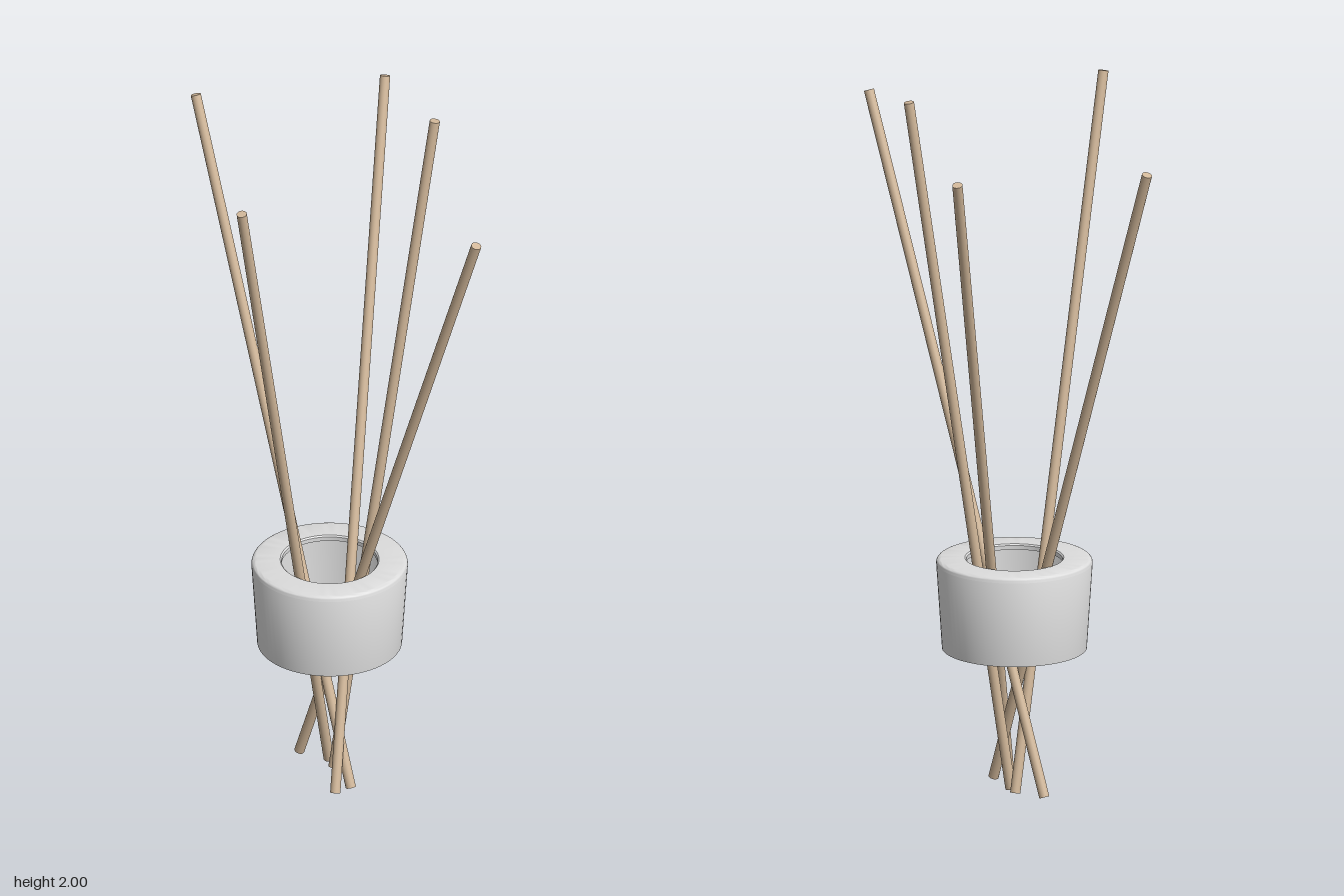
import * as THREE from 'three';
import { toCreasedNormals } from 'three/addons/utils/BufferGeometryUtils.js';

export function createModel() {
  const group = new THREE.Group();
  group.name = 'reedDiffuser';

  const wood = new THREE.MeshStandardMaterial({ color: 0xd2b89a });
  wood.name = 'pale wood';
  const grey = new THREE.MeshStandardMaterial({ color: 0xdcdcdc });
  grey.name = 'light grey';

  // Collar: tapered hollow cap, open below, with a round hole in its top
  const bottom = 0.407, top = 0.665, hole = 0.1325, bevel = 0.014;
  const profile = [new THREE.Vector2(0.191, bottom), new THREE.Vector2(0.2, bottom)];
  for (let i = 0; i <= 6; i++) { // rounded outer shoulder
    const a = (i / 6) * Math.PI / 2;
    profile.push(new THREE.Vector2(0.216 - bevel + bevel * Math.cos(a), top - bevel + bevel * Math.sin(a)));
  }
  profile.push(
    new THREE.Vector2(hole + 0.004, top),
    new THREE.Vector2(hole, top - 0.004),
    new THREE.Vector2(hole, top - 0.016),
    new THREE.Vector2(0.205, top - 0.016),
    new THREE.Vector2(0.191, bottom),
  );
  const collar = new THREE.Mesh(toCreasedNormals(new THREE.LatheGeometry(profile, 72), 0.6), grey);
  collar.name = 'collar';
  collar.position.set(-0.001, 0, 0.032);
  group.add(collar);

  // Reeds: straight round sticks, each from its foot to its tip
  const reeds = [
    [[0.118, 0.005, 0.066], [-0.575, 1.888, -0.01]],
    [[0.11, 0.005, 0.118], [-0.288, 1.888, -0.459]],
    [[0, 0.005, 0.018], [0.13, 1.997, -0.245]],
    [[-0.13, 0.005, 0.023], [0.575, 1.888, 0.027]],
    [[-0.042, 0.005, -0.004], [0.088, 1.96, 0.456]],
  ];
  const up = new THREE.Vector3(0, 1, 0);
  reeds.forEach(([foot, tip], i) => {
    const a = new THREE.Vector3(...foot), b = new THREE.Vector3(...tip);
    const axis = b.clone().sub(a);
    const reed = new THREE.Mesh(new THREE.CylinderGeometry(0.0142, 0.0142, axis.length(), 24), wood);
    reed.name = `reed${i + 1}`;
    reed.position.copy(a).add(b).multiplyScalar(0.5);
    reed.quaternion.setFromUnitVectors(up, axis.normalize());
    group.add(reed);
  });

  return group;
}
